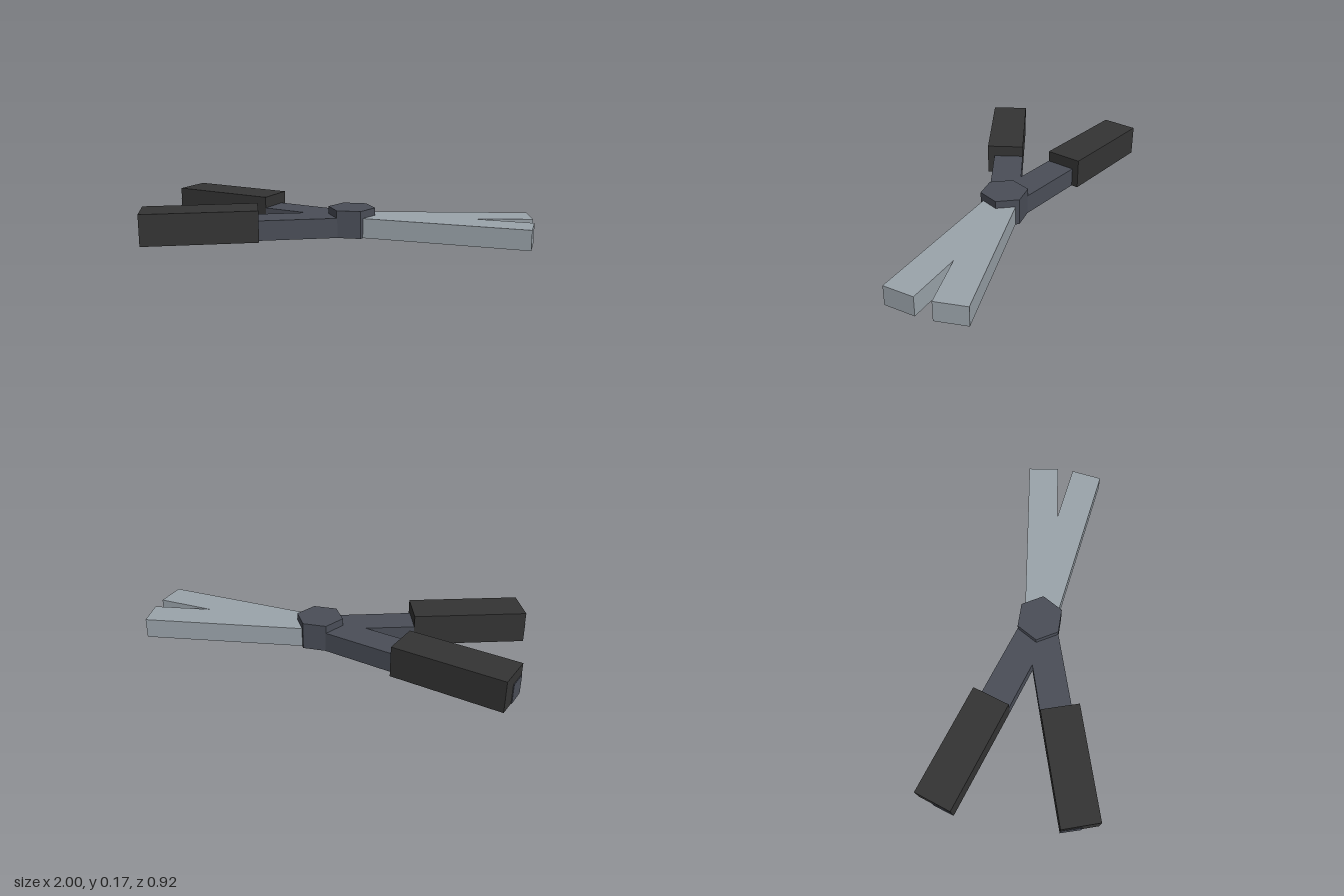
import * as THREE from 'three';

const material = (name, color) => {
  const m = new THREE.MeshStandardMaterial({ color });
  m.name = name;
  return m;
};

// Upright prism from a plan outline of [x, z] points
function prism(name, mat, outline, y0, y1) {
  const shape = new THREE.Shape(outline.map(([x, z]) => new THREE.Vector2(x, -z)));
  const geo = new THREE.ExtrudeGeometry(shape, { depth: y1 - y0, bevelEnabled: false });
  geo.rotateX(-Math.PI / 2).translate(0, y0, 0);
  const mesh = new THREE.Mesh(geo, mat);
  mesh.name = name;
  return mesh;
}

// Close a half outline by repeating it mirrored in z
const mirrored = (half) => [
  ...half,
  ...half.filter(([, z]) => z !== 0).reverse().map(([x, z]) => [x, -z]),
];

export function createModel() {
  const steel = material('light steel', 0x9ba4ab);
  const darkSteel = material('dark steel', 0x4a4e58);
  const rubber = material('black rubber', 0x343434);

  const pliers = new THREE.Group();
  pliers.name = 'pliers';

  // Forked jaws, open towards +x
  pliers.add(prism('jaws', steel,
    mirrored([[0.69, 0], [1, 0.043], [0.977, 0.205], [0.1, 0.086]]), 0.001, 0.105));

  // V-shaped handle arms, open towards -x
  pliers.add(prism('handleArms', darkSteel,
    mirrored([[-0.19, 0], [-0.434, 0.08], [-0.384, 0.237], [0.005, 0.107], [0.08, 0.075]]), 0, 0.105));

  // Hexagonal pivot
  const hex = Array.from({ length: 6 }, (_, i) => {
    const a = (i * Math.PI) / 3;
    return [0.06 + 0.125 * Math.cos(a), 0.125 * Math.sin(a)];
  });
  pliers.add(prism('pivot', darkSteel, hex, 0, 0.145));

  // Grips, each with the handle end showing at its tip
  for (const s of [1, -1]) {
    const side = (points) => points.map(([x, z]) => [x, z * s]);
    pliers.add(prism('grip', rubber,
      side([[-0.998, 0.267], [-0.434, 0.08], [-0.373, 0.273], [-0.935, 0.458]]), 0, 0.165));
    pliers.add(prism('handleEnd', darkSteel,
      side([[-0.998, 0.267], [-1, 0.268], [-0.968, 0.372], [-0.964, 0.371]]), 0.001, 0.105));
  }
  return pliers;
}
